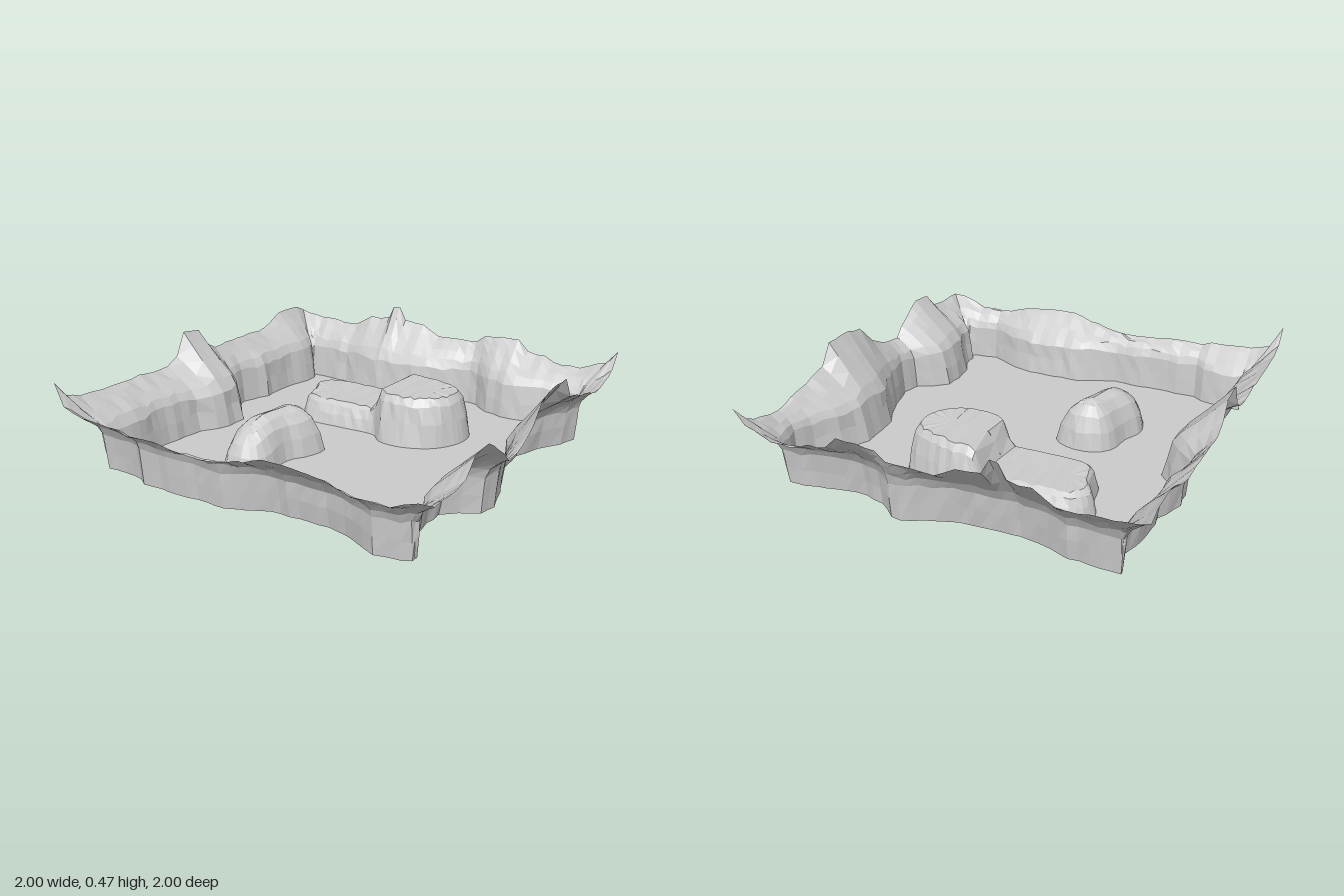
import * as THREE from 'three';

const material = new THREE.MeshStandardMaterial({ color: 0xcccccc, flatShading: true, side: THREE.DoubleSide });

// seeded noise, -1..1
let seed = 7;
const noise = () => {
  seed = (seed * 16807) % 2147483647;
  return (seed / 2147483647) * 2 - 1;
};

// Cliff stations per side: [position along side, foot distance from centre, rim height]
const leftSide = [[-1, .84, .35], [-.93, .81, .39], [-.75, .79, .39], [-.6, .83, .33], [-.4, .83, .33], [-.25, .88, .33],
  [-.15, .87, .33], [-.08, .77, .37], [-.02, .71, .46], [.1, .71, .47], [.16, .74, .36], [.24, .79, .32], [.5, .82, .33],
  [.65, .8, .33], [.85, .8, .34], [.94, .82, .37], [1, .84, .45]];
const frontSide = [[-1, .84, .45], [-.95, .84, .34], [-.84, .85, .3], [-.62, .86, .3], [-.57, .9, .28], [-.3, .9, .27],
  [-.1, .9, .26], [.1, .82, .3], [.2, .815, .33], [.4, .81, .33], [.55, .85, .3], [.68, .92, .27], [.8, .89, .28],
  [.93, .85, .32], [1, .84, .33]];
const rightSide = [[1, .84, .33], [.84, .8, .33], [.75, .79, .34], [.67, .74, .42], [.55, .73, .43], [.45, .73, .36],
  [.39, .79, .33], [.34, .88, .28], [.25, .9, .28], [.1, .86, .35], [0, .82, .45], [-.1, .77, .47], [-.27, .75, .47],
  [-.34, .75, .36], [-.48, .79, .33], [-.6, .87, .3], [-.7, .91, .28], [-.82, .86, .29], [-.93, .84, .33], [-1, .84, .41]];
const backSide = [[1, .84, .41], [.94, .85, .34], [.8, .86, .29], [.7, .84, .28], [.6, .82, .32], [.5, .8, .33],
  [.44, .8, .39], [.34, .83, .39], [.24, .91, .38], [.19, .92, .33], [.05, .85, .33], [-.05, .82, .33], [-.15, .81, .38],
  [-.27, .8, .39], [-.31, .8, .46], [-.35, .8, .46], [-.38, .8, .39], [-.5, .83, .38], [-.6, .86, .32], [-.85, .87, .33],
  [-1, .84, .35]];

// Subdivide a side and place each station in the plan: foot, rim and height
function stations(list, place) {
  const out = [];
  for (let i = 0; i < list.length - 1; i++) {
    const a = list[i], b = list[i + 1];
    const n = Math.max(1, Math.round(Math.abs(b[0] - a[0]) / 0.055));
    for (let k = 0; k < n; k++) {
      const [s, d, h] = a.map((v, j) => THREE.MathUtils.lerp(v, b[j], k / n));
      const inner = THREE.MathUtils.clamp(s, -0.84, 0.84);
      out.push({ foot: place(inner, d + noise() * 0.006), rim: place(s, 1), h: h + noise() * 0.006 });
    }
  }
  return out;
}

// Skin a stack of closed rings with quads
function loft(name, rings) {
  const n = rings[0].length, pos = [], index = [];
  rings.forEach(r => r.forEach(p => pos.push(p.x, p.y, p.z)));
  for (let k = 0; k < rings.length - 1; k++) {
    for (let i = 0; i < n; i++) {
      const a = k * n + i, b = k * n + (i + 1) % n;
      index.push(a, a + n, b + n, a, b + n, b);
    }
  }
  const geo = new THREE.BufferGeometry();
  geo.setAttribute('position', new THREE.Float32BufferAttribute(pos, 3));
  geo.setIndex(index);
  geo.computeVertexNormals();
  const mesh = new THREE.Mesh(geo, material);
  mesh.name = name;
  return mesh;
}

// Cliff: steep at the foot, flaring out to the square rim
function makeCliffs(loop) {
  const profile = [[0, 0], [.07, .3], [.13, .58], [.28, .72], [.55, .84], [.82, .94], [1, 1]];
  const rings = profile.map(([o, f], k) => loop.map(({ foot, rim, h }) => {
    const wobble = k > 0 && k < profile.length - 1 ? noise() * 0.035 : 0;
    const p = foot.clone().lerp(rim, o + wobble);
    const y = 0.31 * f + (h - 0.31) * o * Math.sqrt(o) + wobble * 0.3;
    return new THREE.Vector3(p.x, y, p.y);
  }));
  return loft('cliffWalls', rings);
}

// Closed outline through a few plan points, evenly resampled
function outline(points, count) {
  const curve = new THREE.CatmullRomCurve3(points.map(([x, z]) => new THREE.Vector3(x, 0, z)), true, 'centripetal');
  return curve.getSpacedPoints(count).slice(0, count);
}

// Rock island: rings shrink from the outline towards a spine line
function makeRock(name, foot, spine, steps, height) {
  const line = new THREE.Line3(new THREE.Vector3(...spine[0]), new THREE.Vector3(...spine[1]));
  const rings = steps.map(([t, f], k) => foot.map(p => {
    const q = line.closestPointToPoint(p, true, new THREE.Vector3());
    const rough = k > 0 && t < 0.9 ? noise() : 0;
    const v = p.clone().lerp(q, t + rough * 0.03);
    v.y = f * height(v) + rough * 0.005;
    return v;
  }));
  return loft(name, rings);
}

// Valley floor with openings under the hollow rocks
function makeFloor(loop, holes) {
  const shape = new THREE.Shape(loop.map(s => new THREE.Vector2(s.foot.x, -s.foot.y)));
  shape.holes = holes.map(h => new THREE.Path(h.map(p => new THREE.Vector2(p.x, -p.z))));
  const geo = new THREE.ShapeGeometry(shape).rotateX(-Math.PI / 2);
  const mesh = new THREE.Mesh(geo, material);
  mesh.name = 'valleyFloor';
  return mesh;
}

export function createModel() {
  const group = new THREE.Group();
  group.name = 'canyonArena';
  const v2 = (x, z) => new THREE.Vector2(x, z);
  const loop = [
    ...stations(leftSide, (s, d) => v2(-d, s)),
    ...stations(frontSide, (s, d) => v2(s, d)),
    ...stations(rightSide, (s, d) => v2(d, s)),
    ...stations(backSide, (s, d) => v2(s, -d)),
  ];

  // long two-level mesa and small boulder
  const mesaFoot = outline([[-.57, -.5], [-.5, -.61], [-.35, -.635], [-.1, -.635], [.1, -.63], [.25, -.59], [.38, -.53],
    [.43, -.45], [.43, -.33], [.35, -.2], [.2, -.13], [.07, -.14], [0, -.2], [-.2, -.2], [-.4, -.2], [-.48, -.25], [-.52, -.4]], 72);
  const boulderFoot = outline([[-.1, .1], [-.12, .22], [-.17, .3], [-.18, .48], [-.25, .56], [-.38, .55], [-.44, .45],
    [-.46, .35], [-.42, .25], [-.4, .12], [-.33, .05], [-.2, .04]], 30);

  group.add(makeCliffs(loop));
  group.add(makeFloor(loop, [mesaFoot, boulderFoot]));
  group.add(makeRock('longMesa', mesaFoot, [[-.4, 0, -.41], [.22, 0, -.38]],
    [[0, 0], [.1, .5], [.2, .85], [.32, 1], [1, 1]],
    v => 0.12 + 0.12 * THREE.MathUtils.smoothstep(v.x, -0.03, 0.01)));
  group.add(makeRock('boulder', boulderFoot, [[-.26, 0, .17], [-.31, 0, .42]],
    [[0, 0], [.14, .4], [.35, .72], [.65, .92], [1, 1]],
    v => 0.23 - 0.06 * THREE.MathUtils.smoothstep(v.z, 0.32, 0.5)));
  return group;
}
